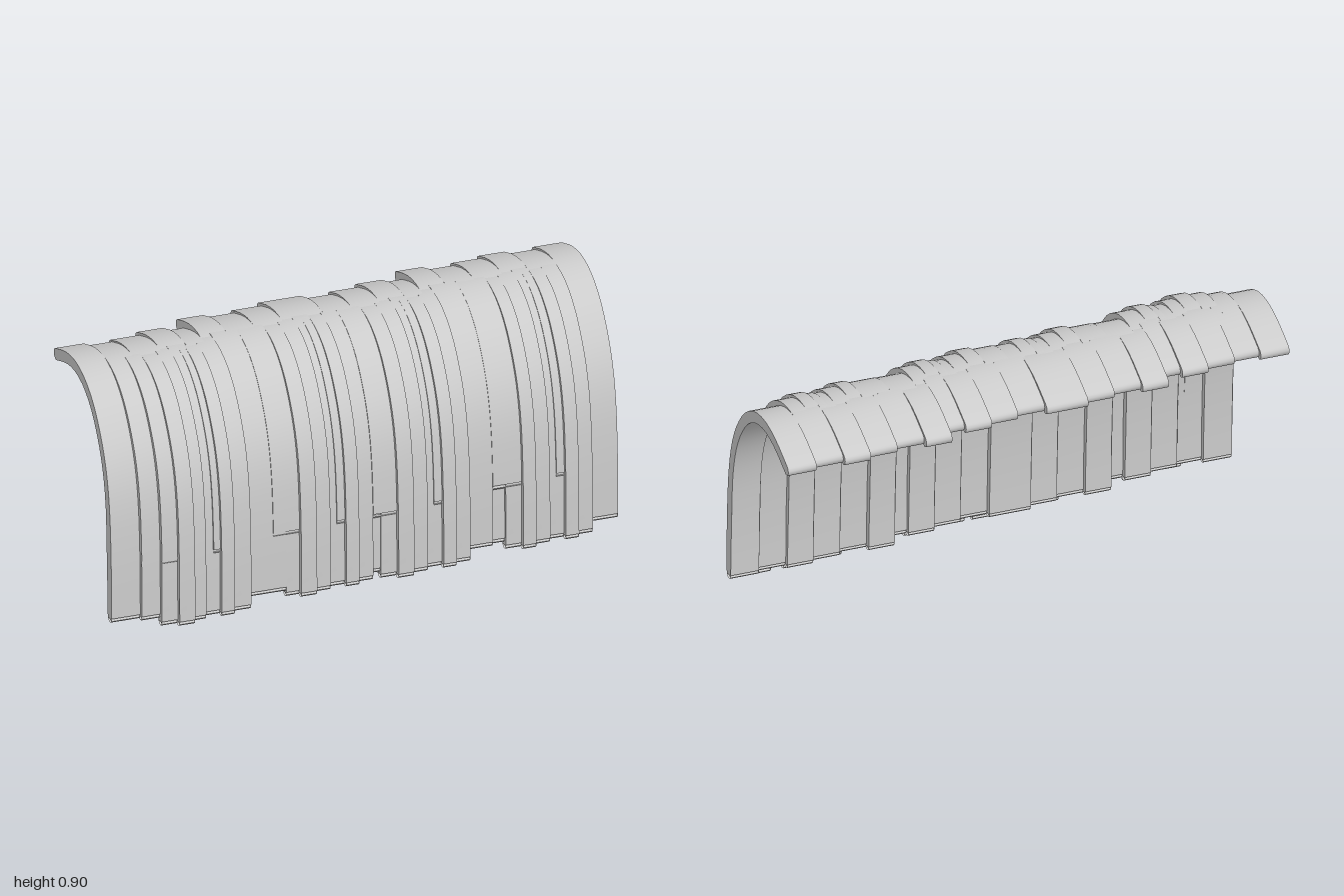
import * as THREE from 'three';
import { toCreasedNormals } from 'three/addons/utils/BufferGeometryUtils.js';

const RADIUS = 0.022; // half the slat thickness
const FRONT = 0.205;  // front face of an unshifted slat
const BACK = -0.44;   // rear tip of an unshifted slat

// Centre line of a slat as (z, y), from the lower front over the crest to the rear tip
const CENTRE = [
  [0.181, 0.2], [0.174, 0.35], [0.162, 0.47], [0.141, 0.57], [0.106, 0.66], [0.055, 0.74],
  [-0.01, 0.81], [-0.1, 0.862], [-0.2, 0.88], [-0.3, 0.865], [-0.418, 0.82],
];

// Ribbon outline with rounded ends, starting at the given bottom height
function slatShape(bottom) {
  const startY = bottom + RADIUS;
  const pts = [[0.183 - Math.max(0, startY - 0.1) * 0.025, startY],
    ...CENTRE.filter(p => p[1] > startY + 0.04)];
  const curve = new THREE.CatmullRomCurve3(pts.map(([z, y]) => new THREE.Vector3(z, y, 0)));
  const n = 28, outer = [], inner = [];
  const cap = (c, from) => Array.from({ length: 5 }, (_, i) => {
    const a = from - (i + 1) * Math.PI / 6;
    return new THREE.Vector2(c.x + RADIUS * Math.cos(a), c.y + RADIUS * Math.sin(a));
  });
  for (let i = 0; i <= n; i++) {
    const p = curve.getPointAt(i / n), t = curve.getTangentAt(i / n);
    outer.push(new THREE.Vector2(p.x + t.y * RADIUS, p.y - t.x * RADIUS));
    inner.push(new THREE.Vector2(p.x - t.y * RADIUS, p.y + t.x * RADIUS));
  }
  const angle = (v, c) => Math.atan2(v.y - c.y, v.x - c.x);
  const first = curve.getPointAt(0), last = curve.getPointAt(1);
  const tip = cap(last, angle(inner[n], last)).reverse();
  const foot = cap(first, angle(outer[0], first)).reverse();
  return new THREE.Shape([...outer, ...tip, ...inner.reverse(), ...foot.reverse()]);
}

// Base slats: [left edge, rear tip z]; each ends where the next begins
const BASE = [
  [-1, -0.27], [-0.89, -0.25], [-0.79, -0.265], [-0.68, -0.29], [-0.58, -0.265],
  [-0.51, -0.335], [-0.41, -0.315], [-0.3, -0.335], [-0.19, -0.36], [-0.03, -0.335],
  [0.08, -0.355], [0.19, -0.38], [0.29, -0.36], [0.36, -0.425], [0.46, -0.4],
  [0.57, -0.42], [0.68, -0.44], [0.78, -0.42], [0.89, -0.44], [1],
];

// Raised slats: [left edge, right edge, front z]
const RAISED = [
  [-0.82, -0.76, 0.415], [-0.76, -0.7, 0.437], [-0.7, -0.65, 0.415], [-0.65, -0.59, 0.393],
  [-0.59, -0.54, 0.415], [-0.54, -0.47, 0.393],
  [-0.32, -0.27, 0.347], [-0.27, -0.21, 0.37], [-0.21, -0.15, 0.348], [-0.15, -0.09, 0.328],
  [-0.09, -0.04, 0.348], [-0.04, 0.02, 0.326],
  [0.05, 0.11, 0.326], [0.11, 0.17, 0.348], [0.17, 0.23, 0.326], [0.23, 0.29, 0.305],
  [0.29, 0.34, 0.327], [0.34, 0.4, 0.305],
  [0.55, 0.61, 0.263], [0.61, 0.66, 0.285], [0.66, 0.72, 0.263], [0.72, 0.78, 0.243],
  [0.78, 0.83, 0.265], [0.83, 0.89, 0.243],
];

// Joining slats between the raised groups
const JOINING = [[-0.47, -0.32, 0.348], [0.02, 0.05, 0.32], [0.4, 0.5, 0.265], [0.5, 0.55, 0.25]];

// Short slats that stop well above the foot
const SHORT = [
  [-0.89, -0.82, 0.397], [-0.82, -0.76, 0.419], [-0.615, -0.59, 0.4],
  [-0.37, -0.27, 0.352], [-0.12, -0.09, 0.334], [0.02, 0.11, 0.331],
  [0.26, 0.29, 0.311], [0.5, 0.61, 0.268], [0.75, 0.78, 0.249],
];

export function createModel() {
  const model = new THREE.Group();
  model.name = 'curvedSlatShell';
  const material = new THREE.MeshStandardMaterial({ color: 0xcccccc, side: THREE.DoubleSide });

  const addSlat = (group, shape, x0, x1, shift) => {
    const geo = new THREE.ExtrudeGeometry(shape, { depth: x1 - x0, bevelEnabled: false });
    geo.translate(0, 0, -(x1 - x0) / 2);
    geo.rotateY(-Math.PI / 2);
    const mesh = new THREE.Mesh(toCreasedNormals(geo, 0.6), material);
    mesh.name = group.name.replace(/s$/, '');
    mesh.position.set((x0 + x1) / 2, 0, shift);
    group.add(mesh);
  };
  const addGroup = (name, bottom, rows) => {
    const group = new THREE.Group();
    group.name = name;
    const shape = slatShape(bottom);
    rows.forEach(([x0, x1, shift]) => addSlat(group, shape, x0, x1, shift));
    model.add(group);
  };
  const fromFront = rows => rows.map(([x0, x1, z]) => [x0, x1, z - FRONT]);

  addGroup('baseSlats', 0.023,
    BASE.slice(0, -1).map(([x, z], i) => [x, BASE[i + 1][0], z - BACK]));
  addGroup('raisedSlats', 0, fromFront(RAISED));
  addGroup('joiningSlats', 0.023, fromFront(JOINING));
  addGroup('shortSlats', 0.25, fromFront(SHORT));
  return model;
}
